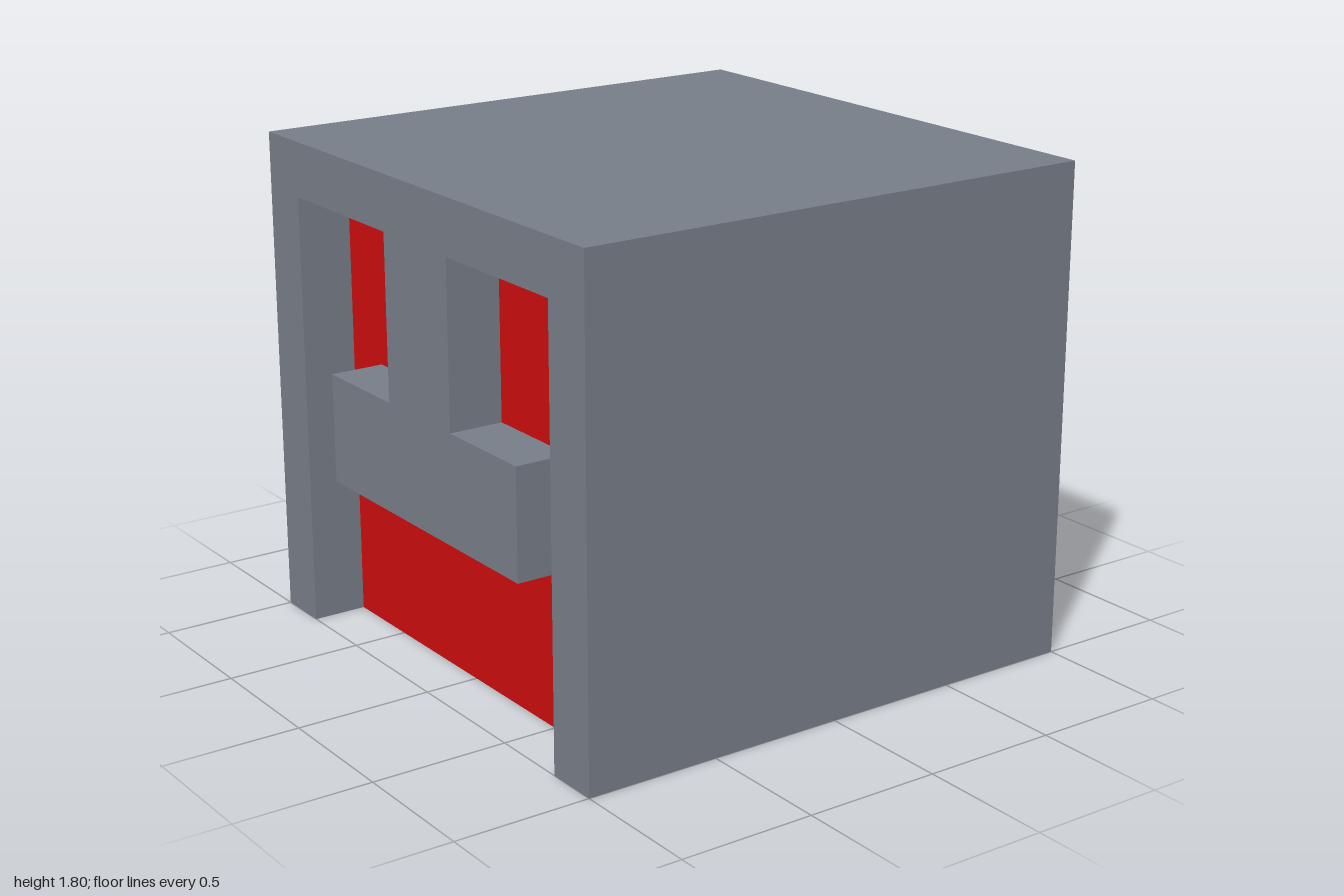
import * as THREE from 'three';

const grey = new THREE.MeshStandardMaterial({ color: 0x777d88 });
grey.name = 'slate grey';
const red = new THREE.MeshStandardMaterial({ color: 0xcc0d0d });
red.name = 'red';

// Extrudes an outline, given by its right half from bottom to top, along z
function extrudeOutline(points, z0, z1) {
  const shape = new THREE.Shape(points.map(([x, y]) => new THREE.Vector2(x, y)));
  const geometry = new THREE.ExtrudeGeometry(shape, { depth: z1 - z0, bevelEnabled: false });
  return geometry.translate(0, 0, z0);
}

function mirrored(half) {
  return [...half, ...half.map(([x, y]) => [-x, y]).reverse()];
}

export function createModel() {
  const group = new THREE.Group();
  const add = (name, geometry, material, x = 0, y = 0, z = 0) => {
    const mesh = new THREE.Mesh(geometry, material);
    mesh.name = name;
    mesh.position.set(x, y, z);
    group.add(mesh);
  };

  // Front frame with the hanging stem and crossbar in one outline
  const frontHalf = [
    [0.6, 0.6], [0.6, 1], [0.2, 1], [0.2, 1.6], [0.8, 1.6],
    [0.8, 0], [1, 0], [1, 1.8],
  ];
  add('frontFrame', extrudeOutline(mirrored(frontHalf), 0.8, 1), grey);

  // Side walls and roof around the core
  const shellHalf = [[0.8, 1.6], [0.8, 0], [1, 0], [1, 1.8]];
  add('shell', extrudeOutline(mirrored(shellHalf), -0.8, 0.8), grey);

  // Closed back wall
  add('backWall', new THREE.BoxGeometry(2, 1.8, 0.2), grey, 0, 0.9, -0.9);

  // Red core, flush with the underside and set back from the front
  add('core', new THREE.BoxGeometry(1.6, 1.6, 1.6), red, 0, 0.8, 0);

  return group;
}
